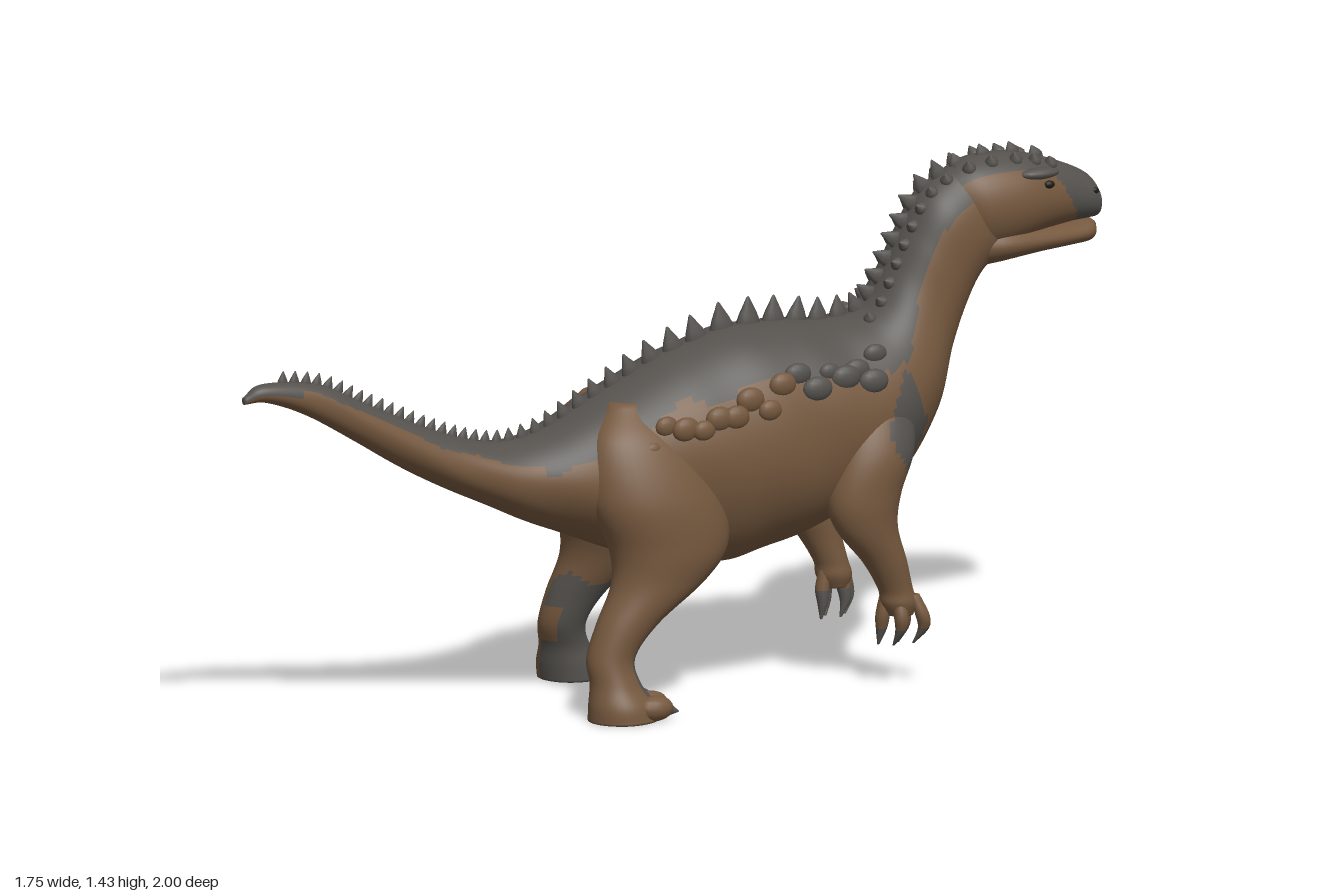
import * as THREE from 'three';

const make = (name, color) => Object.assign(new THREE.MeshStandardMaterial({ color }), { name });
const brown = make('brown hide', 0x75583e);
const grey = make('grey hide', 0x55524e);
const dark = make('dark eye', 0x1e1a17);

// Small seeded random numbers
let seed = 7;
const rnd = () => (seed = (seed * 16807) % 2147483647) / 2147483647;

// Section from a top point, a bottom point and a half width: [cx, cy, cz, ax, ay, bz]
const slice = ([tx, ty, bx, by, w]) => [(tx + bx) / 2, (ty + by) / 2, 0, (tx - bx) / 2, (ty - by) / 2, w];
// Horizontal limb section from a centre and two radii
const disc = ([x, y, z, rx, rz]) => [x, y, z, rx, 0, rz];

// Smooth surface function through the sections
function surface(rows, ripple = 0) {
  const curve = (k) => new THREE.CatmullRomCurve3(rows.map((r) => new THREE.Vector3(r[k], r[k + 1], r[k + 2])), false, 'catmullrom', 0.5);
  const centre = curve(0), radii = curve(3);
  return (t, a) => {
    const c = centre.getPoint(t), r = radii.getPoint(t);
    const k = 1 + ripple * (Math.sin(c.x * 31 + 3 * Math.cos(a)) + Math.sin(c.x * 13 + 6 * Math.cos(a)));
    return new THREE.Vector3(c.x + r.x * Math.cos(a) * k, c.y + r.y * Math.cos(a) * k, c.z + r.z * Math.sin(a) * k);
  };
}

// Closed loft; isGrey(point, angle, t) picks the colour of each cell
function loft(name, point, n, m, isGrey) {
  const pos = [], faces = [[], []];
  for (let i = 0; i <= n; i++)
    for (let j = 0; j < m; j++) pos.push(...point(i / n, (j / m) * Math.PI * 2).toArray());
  const id = (i, j) => i * m + (j % m);
  for (let i = 0; i < n; i++)
    for (let j = 0; j < m; j++) {
      const t = (i + 0.5) / n, a = ((j + 0.5) / m) * Math.PI * 2;
      faces[isGrey(point(t, a), a, t) ? 1 : 0].push(
        id(i, j), id(i, j + 1), id(i + 1, j + 1), id(i, j), id(i + 1, j + 1), id(i + 1, j));
    }
  // End caps
  for (const [i, t] of [[0, 0], [n, 1]]) {
    const c = point(t, 0).add(point(t, Math.PI)).multiplyScalar(0.5);
    const k = pos.length / 3;
    pos.push(c.x, c.y, c.z);
    const f = faces[isGrey(point(t, 0), 0, t) ? 1 : 0];
    for (let j = 0; j < m; j++) i ? f.push(k, id(i, j), id(i, j + 1)) : f.push(k, id(i, j + 1), id(i, j));
  }
  const g = new THREE.BufferGeometry();
  g.setAttribute('position', new THREE.Float32BufferAttribute(pos, 3));
  g.setIndex([...faces[0], ...faces[1]]);
  g.addGroup(0, faces[0].length, 0);
  g.addGroup(faces[0].length, faces[1].length, 1);
  g.computeVertexNormals();
  const mesh = new THREE.Mesh(g, [brown, grey]);
  mesh.name = name;
  return mesh;
}

const ball = new THREE.SphereGeometry(1, 14, 10);
// Blunt, slightly bulging spike
const cone = new THREE.LatheGeometry(
  [[0.9, -0.3], [1, 0], [0.72, 0.35], [0.36, 0.7], [0.12, 0.95], [0, 1]].map(([x, y]) => new THREE.Vector2(x, y)), 10);

function blob(name, mat, p, sx, sy, sz) {
  const mesh = new THREE.Mesh(ball, mat);
  mesh.name = name;
  mesh.position.copy(p);
  mesh.scale.set(sx, sy, sz);
  return mesh;
}

function spike(name, p, dir, r, h, flat = 0.5) {
  const mesh = new THREE.Mesh(cone, grey);
  mesh.name = name;
  mesh.position.copy(p);
  mesh.scale.set(r, h, r * flat);
  mesh.quaternion.setFromUnitVectors(new THREE.Vector3(0, 1, 0), dir.clone().normalize());
  return mesh;
}

const shoulderPatch = (p) => Math.abs(p.x - 0.62) / 0.08 + Math.abs(p.y - 0.71) / 0.17 < 1;
const V = (x, y, z) => new THREE.Vector3(x, y, z);

export function createModel() {
  const model = new THREE.Group();
  model.name = 'dinosaur';
  // Built along +x, then turned onto the diagonal
  const animal = new THREE.Group();
  animal.name = 'animal';
  animal.rotation.y = 0.857;
  model.add(animal);

  // Tail, torso and neck
  const body = surface([
    [-1.31, 0.965, -1.31, 0.945, 0.01], [-1.25, 0.995, -1.24, 0.943, 0.029], [-1.09, 0.98, -1.11, 0.89, 0.042],
    [-0.94, 0.91, -0.96, 0.8, 0.06], [-0.76, 0.825, -0.78, 0.69, 0.08], [-0.6, 0.77, -0.6, 0.6, 0.105],
    [-0.45, 0.765, -0.45, 0.53, 0.14], [-0.3, 0.825, -0.28, 0.46, 0.185], [-0.12, 0.915, -0.1, 0.39, 0.225],
    [0.06, 0.98, 0.08, 0.362, 0.245], [0.25, 1.01, 0.25, 0.38, 0.248], [0.42, 1.0, 0.45, 0.44, 0.235],
    [0.54, 1.0, 0.65, 0.53, 0.215], [0.6, 1.04, 0.78, 0.7, 0.175], [0.65, 1.12, 0.84, 0.88, 0.132],
    [0.7, 1.22, 0.89, 1.0, 0.12], [0.76, 1.32, 0.94, 1.08, 0.115], [0.86, 1.38, 1.01, 1.13, 0.1],
  ].map(slice), 0.007);
  animal.add(loft('body', body, 190, 72, (p, a) => {
    const fromTop = Math.min(a, Math.PI * 2 - a);
    const base = p.x < -1.15 ? 1.6 : p.x < -0.45 ? 1.0 : p.x < -0.16 ? 1.22 : p.x < 0.4 ? 0.9 : 1.1;
    return fromTop < base + 0.06 * Math.sin(p.x * 23) + 0.04 * Math.sin(p.x * 41) || shoulderPatch(p);
  }));

  // Row of spikes down the spine, with smaller ones beside the neck
  let last = body(0.07, 0);
  for (let t = 0.07; t < 0.98; t += 0.001) {
    const p = body(t, 0);
    const onBack = Math.max(0, 1 - Math.abs(p.x - 0.2) / 0.75);
    const size = p.x > 0.6 ? 0.048 : 0.03 + 0.042 * onBack;
    if (p.distanceTo(last) < size * 1.12) continue;
    last = p;
    const d = body(t + 0.004, 0).sub(body(t - 0.004, 0));
    const up = V(-d.y, d.x, 0);
    animal.add(spike('spine spike', p, up, size * 0.52, size * 1.05));
    if (p.x > 0.56)
      for (const s of [1, -1]) animal.add(spike('neck spike', body(t, 0.35 * s), up.clone().setZ(s * 0.4 * up.length()), 0.019, 0.022, 1));
  }

  for (const s of [1, -1]) {
    // Rounded bumps on the flanks
    for (let i = 0; i < 9; i++) {
      const r = 0.024 + rnd() * 0.014;
      animal.add(blob('flank bump', brown, body(0.455 + i * 0.016, s * (0.94 + rnd() * 0.3)), r * 1.2, r, r * 0.6));
    }
    // Grey knobs over the shoulder
    for (let i = 0; i < 7; i++) {
      const r = 0.022 + rnd() * 0.014;
      animal.add(blob('shoulder knob', grey, body(0.6 + i * 0.016, s * (0.65 + rnd() * 0.5)), r * 1.3, r, r * 0.6));
    }
  }

  // Skull and lower jaw
  const skull = surface([
    [0.81, 1.35, 0.9, 1.14, 0.08], [0.9, 1.395, 0.94, 1.13, 0.115], [1.03, 1.4, 1.03, 1.145, 0.12],
    [1.13, 1.375, 1.13, 1.172, 0.1], [1.21, 1.345, 1.21, 1.186, 0.077], [1.265, 1.315, 1.27, 1.19, 0.062],
    [1.293, 1.28, 1.295, 1.195, 0.045], [1.303, 1.255, 1.303, 1.215, 0.015],
  ].map(slice));
  animal.add(loft('skull', skull, 50, 48, (p, a) =>
    Math.min(a, Math.PI * 2 - a) < 0.8 || p.x > 1.17 + (1.28 - p.y) * 0.6));
  const jaw = surface([
    [0.86, 1.2, 0.9, 1.09, 0.07], [0.97, 1.215, 0.98, 1.1, 0.105], [1.1, 1.2, 1.1, 1.115, 0.093],
    [1.21, 1.19, 1.21, 1.122, 0.068], [1.27, 1.19, 1.27, 1.128, 0.05], [1.292, 1.178, 1.292, 1.15, 0.015],
  ].map(slice));
  animal.add(loft('lower jaw', jaw, 30, 28, () => false));

  for (const s of [1, -1]) {
    animal.add(blob('eye', dark, V(1.105, 1.318, s * 0.099), 0.016, 0.011, 0.009));
    animal.add(blob('brow ridge', grey, V(1.08, 1.35, s * 0.09), 0.06, 0.016, 0.024));
    animal.add(blob('nostril', dark, V(1.268, 1.275, s * 0.056), 0.011, 0.009, 0.006));
    for (let i = 0; i < 5; i++)
      animal.add(spike('crown spike', skull(0.12 + i * 0.08, s * 0.45), V(-0.4, 1, s * 0.4), 0.02, 0.026, 1));
  }
  for (let i = 0; i < 4; i++) animal.add(spike('crown spike', skull(0.1 + i * 0.1, 0), V(-0.4, 1, 0), 0.022, 0.03));

  for (const s of [1, -1]) {
    // Hind leg, the left one a step ahead and wider
    const step = (y) => (s < 0 ? Math.max(0, 1 - y / 0.6) : 0);
    const leg = surface([
      [-0.17, 0.85, 0.08, 0.06, 0.04], [-0.16, 0.75, 0.125, 0.15, 0.085], [-0.13, 0.6, 0.15, 0.195, 0.12],
      [-0.095, 0.46, 0.165, 0.175, 0.115], [-0.13, 0.365, 0.175, 0.14, 0.095], [-0.23, 0.26, 0.185, 0.09, 0.072],
      [-0.285, 0.17, 0.19, 0.068, 0.062], [-0.28, 0.1, 0.205, 0.07, 0.066], [-0.265, 0.045, 0.215, 0.092, 0.085],
      [-0.26, 0, 0.215, 0.098, 0.092],
    ].map(([x, y, z, rx, rz]) => disc([x + 0.12 * step(y), y, s * (z + 0.1 * step(y)), rx, rz])), 0.006);
    animal.add(loft('hind leg', leg, 70, 40, (p, a) => {
      const out = Math.sin(a) * s, wave = 0.02 * Math.sin(a * 3);
      if (s > 0) return p.y < 0.18 + wave && out - 0.8 * Math.cos(a) < 0.05;
      const heelSpot = Math.cos(a) < -0.6 && p.y > 0.12 && p.y < 0.22;
      return p.y < 0.3 + wave && out - 0.3 * Math.cos(a) < 0.3 && !heelSpot;
    }));
    const fx = -0.26 + 0.12 * step(0), fz = 0.215 + 0.1 * step(0);
    for (const k of [-1, 0, 1]) {
      const toe = V(fx + 0.08 - 0.015 * Math.abs(k), 0.035, s * (fz + k * 0.06));
      animal.add(blob('toe', s > 0 && k >= 0 ? brown : grey, toe, 0.055, 0.035, 0.035));
      animal.add(spike('toe claw', toe.add(V(0.038, -0.006, 0)), V(1, -0.25, k * s * 0.2), 0.019, 0.035, 1));
    }

    // Foreleg
    const arm = surface([
      [0.56, 0.86, 0.09, 0.04, 0.04], [0.555, 0.78, 0.135, 0.095, 0.07], [0.53, 0.66, 0.175, 0.115, 0.085],
      [0.49, 0.54, 0.19, 0.108, 0.078], [0.495, 0.45, 0.195, 0.09, 0.067], [0.55, 0.35, 0.195, 0.062, 0.053],
      [0.585, 0.27, 0.19, 0.048, 0.046], [0.595, 0.23, 0.19, 0.05, 0.048], [0.6, 0.195, 0.19, 0.036, 0.035],
    ].map(([x, y, z, rx, rz]) => disc([x, y, s * z, rx, rz])), 0.006);
    animal.add(loft('foreleg', arm, 60, 36, shoulderPatch));

    // Fingers ending in grey claws, greyer on the left hand
    for (let k = 0; k < 4; k++) {
      const dx = (k - 1.5) * 0.023, dz = s * (k % 2 ? 0.02 : -0.012);
      const finger = surface([
        [0.597 + dx, 0.25, s * 0.19 + dz, 0.017, 0.017], [0.602 + dx * 1.4, 0.195, s * 0.195 + dz * 1.5, 0.02, 0.02],
        [0.604 + dx * 1.5, 0.155, s * 0.19 + dz * 1.5, 0.015, 0.015], [0.59 + dx * 1.3, 0.112, s * 0.18 + dz, 0.003, 0.003],
      ].map(disc));
      animal.add(loft('finger', finger, 14, 10, (p, a, t) => t > (s < 0 ? 0.35 : 0.62)));
    }
  }
  return model;
}
